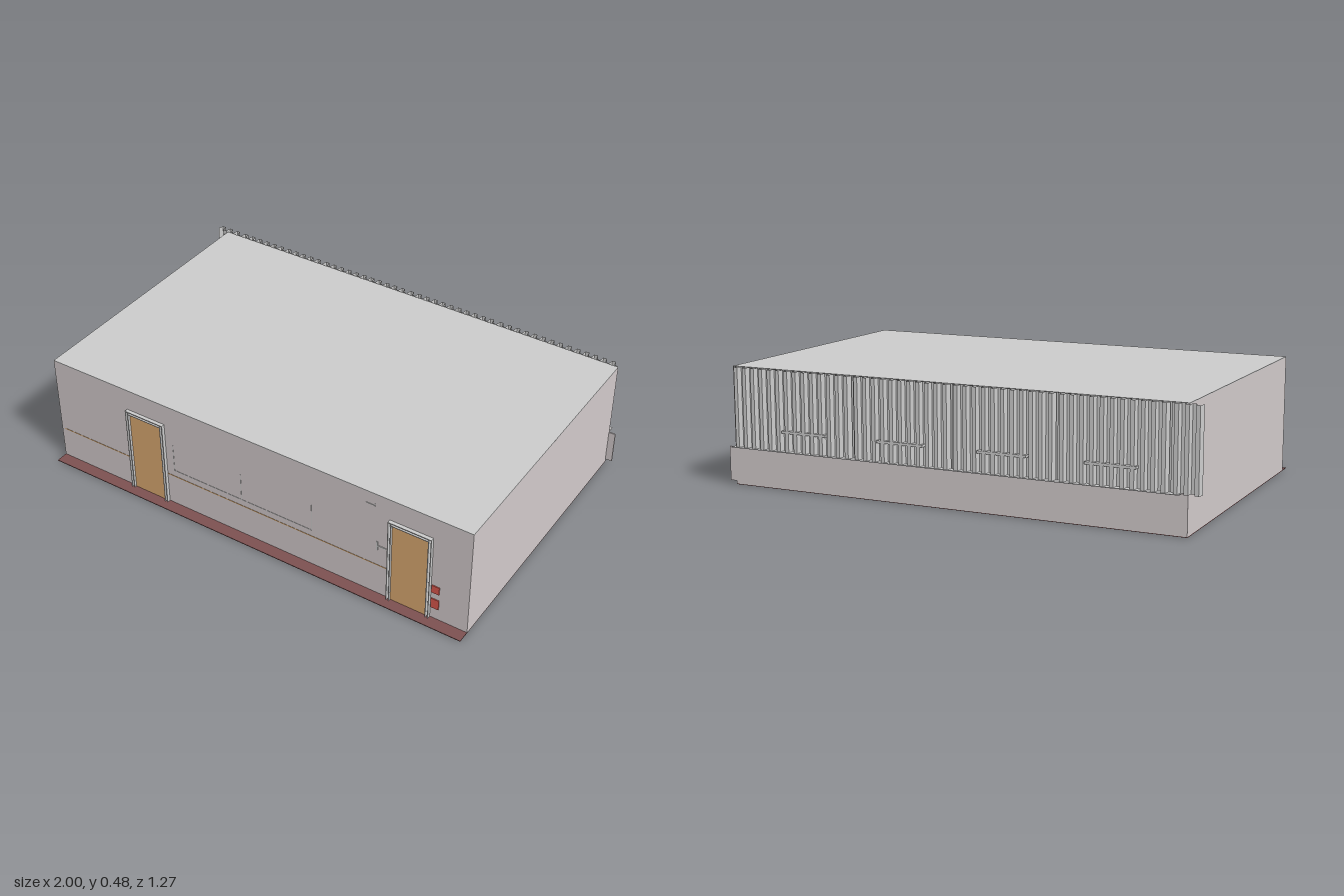
import * as THREE from 'three';

const material = (color = 0xcccccc) =>
  new THREE.MeshStandardMaterial({ color, side: THREE.DoubleSide });
const grey = material();
const wallMat = material(0xd2cacb);
const floorMat = material(0x7c5050);
const wood = material(0xd9a870);
const red = material(0xd9564c);

// Box given by its two opposite corners
function box(parent, name, mat, x0, x1, y0, y1, z0, z1) {
  const mesh = new THREE.Mesh(new THREE.BoxGeometry(x1 - x0, y1 - y0, z1 - z0), mat);
  mesh.position.set((x0 + x1) / 2, (y0 + y1) / 2, (z0 + z1) / 2);
  mesh.name = name;
  parent.add(mesh);
  return mesh;
}

// Pleated sheet hanging between x0 and x1, folded as a row of trapezoids
function curtain(x0, x1, y0, y1, zIn, zOut, folds) {
  const segments = folds * 4;
  const geo = new THREE.PlaneGeometry(x1 - x0, y1 - y0, segments, 1).toNonIndexed();
  const p = geo.attributes.position;
  const pitch = (x1 - x0) / segments;
  for (let i = 0; i < p.count; i++) {
    const column = Math.round((p.getX(i) + (x1 - x0) / 2) / pitch);
    const outer = column % 4 === 1 || column % 4 === 2;
    // Squeeze the slopes so the folds look almost square
    const shift = [0.3, -0.3, 0.3, -0.3][column % 4] * pitch;
    const edge = column === 0 || column === segments;
    p.setX(i, p.getX(i) + (edge ? 0 : shift));
    p.setZ(i, outer ? zOut : zIn);
  }
  geo.translate((x0 + x1) / 2, (y0 + y1) / 2, 0);
  geo.computeVertexNormals();
  const mesh = new THREE.Mesh(geo, grey);
  mesh.name = 'curtain';
  return mesh;
}

// Door leaf with a frame of narrow plates standing out from the wall
function door(x0, x1) {
  const g = new THREE.Group();
  g.name = 'door';
  box(g, 'doorLeaf', wood, x0, x1, 0.003, 0.375, 0.575, 0.584);
  for (const [a, b] of [[x0 - 0.014, x0 - 0.011], [x0 - 0.003, x0], [x1, x1 + 0.003], [x1 + 0.011, x1 + 0.014]]) {
    box(g, 'frameSide', grey, a, b, 0.003, 0.388, 0.58, 0.595);
  }
  box(g, 'frameTop', grey, x0 - 0.014, x1 + 0.014, 0.386, 0.389, 0.58, 0.595);
  box(g, 'frameHead', grey, x0, x1, 0.375, 0.378, 0.58, 0.595);
  return g;
}

export function createModel() {
  const model = new THREE.Group();
  model.name = 'room';
  const L = -0.945, R = 0.972, H = 0.483, F = 0.58, B = -0.607;

  // Shell
  box(model, 'floor', floorMat, L, R, 0, 0.003, B, 0.631);
  box(model, 'roof', grey, L, R, H - 0.004, H, B, F);
  box(model, 'frontWall', wallMat, L, R, 0.003, H - 0.004, F - 0.01, F);
  box(model, 'rightWall', wallMat, L, L + 0.01, 0.003, H - 0.004, B, F - 0.01);
  box(model, 'leftWall', wallMat, R - 0.01, R, 0.003, H - 0.004, B, F - 0.01);

  // Back: parapet, end piece, sill and window wall
  box(model, 'backParapet', wallMat, L, R, 0.003, 0.158, B - 0.002, B + 0.01);
  box(model, 'parapetEnd', wallMat, R, 1.0, 0.015, 0.155, B - 0.002, B + 0.004);
  box(model, 'windowSill', grey, -0.92, R, 0.157, 0.159, -0.637, B);
  box(model, 'windowWall', grey, L + 0.01, R - 0.01, 0.158, H - 0.004, B + 0.002, B + 0.01);

  // Curtains over the windows, each with a low window bar
  const panels = new THREE.Group();
  panels.name = 'curtains';
  const ends = [-1.0, -0.875, -0.44, -0.01, 0.42, R];
  for (let i = 0; i < ends.length - 1; i++) {
    const width = ends[i + 1] - ends[i] - 0.006;
    panels.add(curtain(ends[i], ends[i] + width, 0.16, H, -0.612, -0.635, Math.round(width / 0.039)));
  }
  for (const x of [-0.66, -0.23, 0.2, 0.63]) {
    box(panels, 'windowBar', grey, x - 0.1, x + 0.1, 0.235, 0.245, -0.637, -0.615);
  }
  model.add(panels);

  // Doors
  model.add(door(-0.565, -0.41), door(0.645, 0.8));

  // Rail along the front wall, broken by the doors
  for (const [a, b] of [[-0.93, -0.58], [-0.395, 0.63]]) {
    box(model, 'wallRail', wood, a, b, 0.142, 0.146, F - 0.002, F + 0.001);
  }

  // Thin board outline
  box(model, 'boardEdge', grey, -0.36, 0.29, 0.173, 0.176, F - 0.002, F + 0.001);
  for (const x of [-0.36, -0.035, 0.29]) {
    box(model, 'boardEdge', grey, x - 0.001, x + 0.001, 0.175, 0.3, F - 0.002, F + 0.001);
  }

  // Hook and red safety boxes
  box(model, 'hookPlate', grey, 0.578, 0.584, 0.22, 0.26, F, F + 0.003);
  box(model, 'hookArm', grey, 0.584, 0.62, 0.237, 0.243, F, F + 0.003);
  box(model, 'upperSafetyBox', red, 0.817, 0.85, 0.13, 0.165, F, F + 0.004);
  box(model, 'lowerSafetyBox', red, 0.817, 0.85, 0.055, 0.1, F, F + 0.004);

  // Small bracket high on the wall
  box(model, 'bracket', grey, 0.53, 0.57, 0.426, 0.429, F, F + 0.002);
  box(model, 'bracketEnd', grey, 0.567, 0.57, 0.429, 0.438, F, F + 0.002);
  return model;
}
